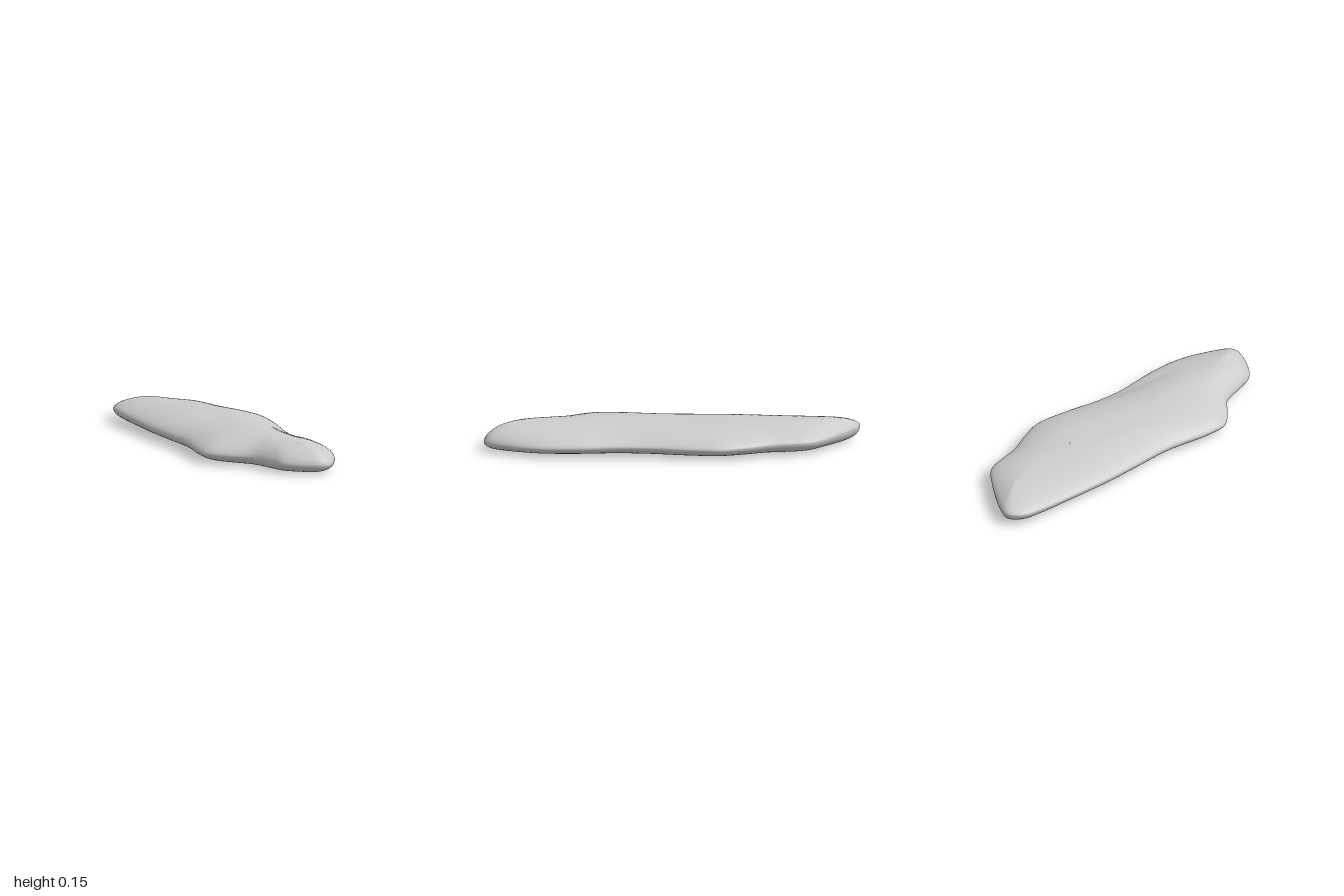
import * as THREE from 'three';

// Plan outline of the slab as [x, z], clockwise seen from above
const OUTLINE = [
  [-0.06, -1.0], [0.01, -0.97], [0.2, -0.81], [0.285, -0.71], [0.303, -0.6], [0.31, -0.5],
  [0.357, -0.34], [0.378, -0.22], [0.347, -0.07], [0.275, 0.16], [0.245, 0.32], [0.235, 0.56],
  [0.2, 0.74], [0.11, 0.91], [0.045, 0.985], [0, 0.998], [-0.1, 0.945], [-0.18, 0.865],
  [-0.205, 0.76], [-0.235, 0.62], [-0.315, 0.52], [-0.378, 0.425], [-0.37, 0.31], [-0.3, 0.055],
  [-0.275, -0.18], [-0.255, -0.37], [-0.21, -0.63], [-0.17, -0.83], [-0.13, -0.95],
];

const bump = (d, width) => Math.exp(-(d * d) / (width * width));

// Gently uneven top: a low crown, a drop to the back and a diagonal hollow
function topHeight(x, z) {
  const along = (z - 0.2) * 0.94 - (x - 0.23) * 0.34;
  const across = (x - 0.23) * 0.94 + (z - 0.2) * 0.34;
  return 0.147
    + 0.009 * bump(x + 0.07, 0.16) * bump(z - 0.3, 0.32)
    - 0.025 * Math.max(0, -z - 0.3)
    - 0.02 * bump(across, 0.055) * bump(along - 0.12, 0.25)
    - 0.006 * bump(x - 0.02 + 0.3 * (z + 0.2), 0.08) * bump(z + 0.05, 0.3);
}

function createSlabGeometry() {
  const curve = new THREE.CatmullRomCurve3(
    OUTLINE.map(([x, z]) => new THREE.Vector3(x, 0, z)), true, 'centripetal');
  const around = 180, steps = 20, rings = 2 * steps + 1;
  const positions = [], indices = [];

  // Rings run from the underside spine out to the rim and back over the top
  for (let j = 0; j < rings; j++) {
    const s = (j - steps) / steps;
    const t = s * s; // inset from the rim, 0 at the rim and 1 at the spine
    for (let i = 0; i < around; i++) {
      const p = curve.getPointAt(i / around);
      const spineZ = p.z * 0.8;
      const spineX = -0.18 * spineZ * (1 - spineZ * spineZ);
      const x = THREE.MathUtils.lerp(p.x, spineX, t);
      const z = THREE.MathUtils.lerp(p.z, spineZ, t);
      const rimY = 0.06 - 0.01 * p.z;
      const y = s < 0
        ? rimY - (rimY - 0.002) * Math.sqrt(1 - (1 - t) ** 4)
        : rimY + (topHeight(x, z) - rimY) * (1 - (1 - t) ** 2) ** 0.6;
      positions.push(x, y, z);
    }
  }
  for (let j = 0; j < rings - 1; j++) {
    for (let i = 0; i < around; i++) {
      const n = (i + 1) % around;
      const a = j * around + i, b = j * around + n;
      const c = a + around, d = b + around;
      indices.push(a, c, b, b, c, d);
    }
  }
  const geometry = new THREE.BufferGeometry();
  geometry.setAttribute('position', new THREE.Float32BufferAttribute(positions, 3));
  geometry.setIndex(indices);
  geometry.computeVertexNormals();
  return geometry;
}

export function createModel() {
  const group = new THREE.Group();
  group.name = 'flatRock';
  const slab = new THREE.Mesh(
    createSlabGeometry(), new THREE.MeshStandardMaterial({ color: 0xcccccc }));
  slab.name = 'stoneSlab';
  group.add(slab);
  return group;
}
